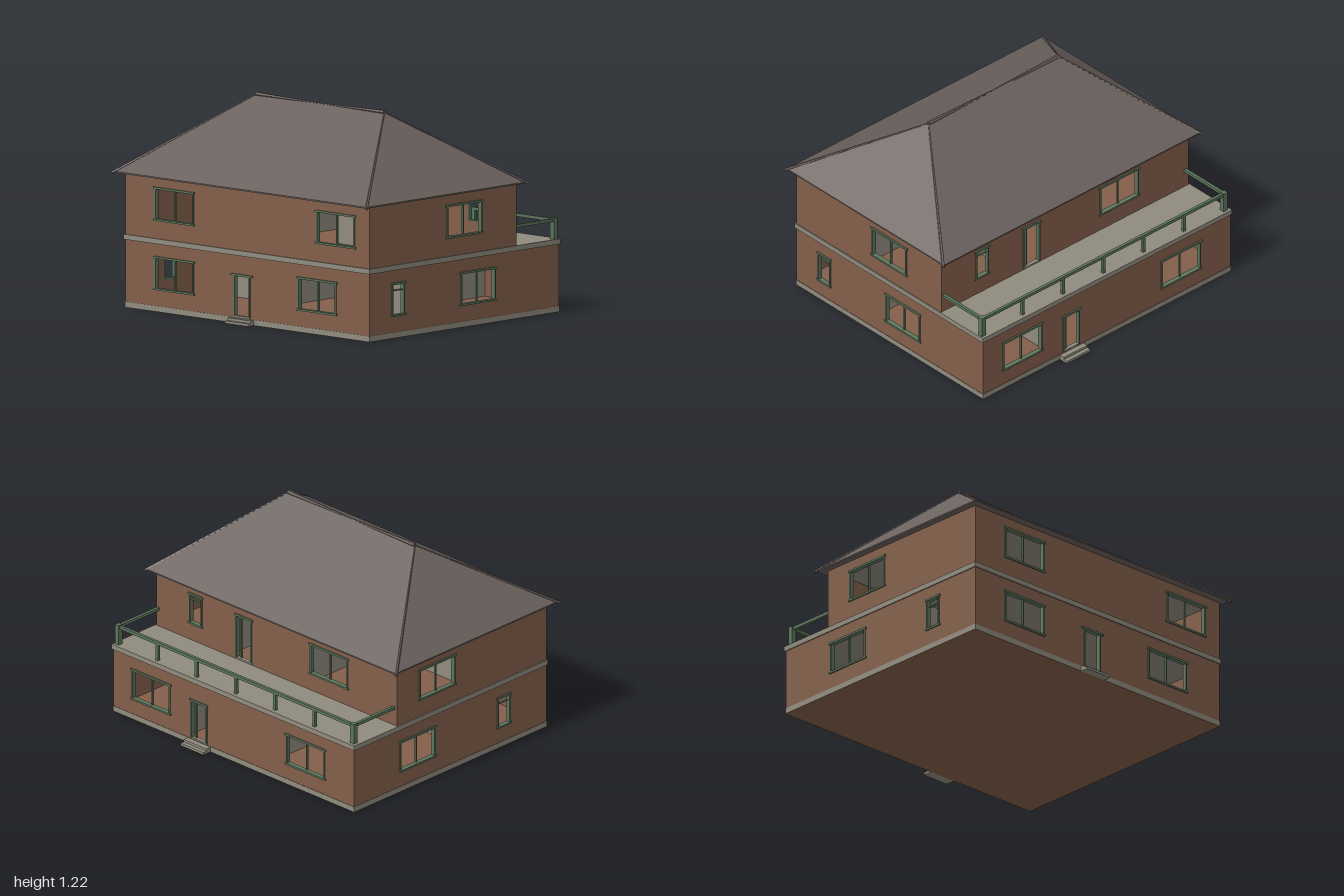
import * as THREE from 'three';

const mat = (name, color, extra = {}) => {
  const m = new THREE.MeshStandardMaterial({ color, ...extra });
  m.name = name;
  return m;
};

export function createModel() {
  const brick = mat('brick', 0x835f4a);
  const stone = mat('stone', 0x908b7e);
  const slate = mat('slate', 0x6a615d, { flatShading: true });
  const green = mat('green paint', 0x5d755d);

  const house = new THREE.Group();
  house.name = 'house';

  const add = (parent, name, geometry, material) => {
    const mesh = new THREE.Mesh(geometry, material);
    mesh.name = name;
    parent.add(mesh);
    return mesh;
  };
  // Box given by its limits on each axis
  const box = (parent, name, material, x0, x1, y0, y1, z0, z1) => {
    const mesh = add(parent, name, new THREE.BoxGeometry(x1 - x0, y1 - y0, z1 - z0), material);
    mesh.position.set((x0 + x1) / 2, (y0 + y1) / 2, (z0 + z1) / 2);
    return mesh;
  };

  const X0 = -0.947, X1 = 0.959, FRONT = 0.776, BACK = -0.79, UPPER_BACK = -0.44, T = 0.02;

  // Plinth with the brown ground floor on top, and the slab between the storeys
  box(house, 'plinth', [stone, stone, brick, brick, stone, stone],
    X0 - 0.002, X1 + 0.002, 0, 0.033, BACK - 0.002, FRONT + 0.002);
  box(house, 'balconySlab', stone, X0 - 0.007, X1 + 0.007, 0.39, 0.42, BACK - 0.007, FRONT + 0.007);
  box(house, 'upperFloor', brick, X0 + T, X1 - T, 0.42, 0.424, UPPER_BACK + T, FRONT - T);
  box(house, 'upperCeiling', stone, X0 + T, X1 - T, 0.766, 0.772, UPPER_BACK + T, FRONT - T);

  // Plastered partitions: a spine wall split by the hall, and cross walls behind it
  const storeys = [['lower', 0.033, 0.39, BACK], ['upper', 0.424, 0.766, UPPER_BACK]];
  for (const [storey, y0, y1, back] of storeys) {
    box(house, storey + 'SpineWall', stone, X0 + T, -0.18, y0, y1, 0.2, 0.22);
    box(house, storey + 'SpineWall', stone, 0.18, X1 - T, y0, y1, 0.2, 0.22);
    box(house, storey + 'CrossWall', stone, -0.2, -0.18, y0, y1, back + T, 0.22);
    box(house, storey + 'CrossWall', stone, 0.38, 0.4, y0, y1, back + T, 0.2);
  }

  // Painted frame around an opening, in the wall's own coordinates
  const frame = (parent, [u0, u1, y0, y1, kind]) => {
    const g = new THREE.Group();
    g.name = kind.includes('oor') ? 'doorFrame' : 'windowFrame';
    parent.add(g);
    const t = 0.01, mid = (u0 + u1) / 2;
    const over = kind === 'door' ? 0.02 : 0.007;
    box(g, 'jamb', green, u0, u0 + t, y0, y1, -T, 0.006);
    box(g, 'jamb', green, u1 - t, u1, y0, y1, -T, 0.006);
    box(g, 'lintel', green, u0 - over, u1 + over, y1 - 0.006, y1 + 0.006, -T, 0.009);
    if (kind === 'door' || kind === 'glassDoor') {
      box(g, 'threshold', stone, u0, u1, y0 - 0.004, y0 + 0.004, -T, 0.004);
      if (kind === 'glassDoor') box(g, 'doorStile', green, u0 + 0.03, u0 + 0.038, y0, y1, -T, -0.008);
      return;
    }
    box(g, 'sill', green, u0 - over, u1 + over, y0 - 0.006, y0 + 0.005, -T, 0.009);
    if (kind === 'pair') box(g, 'mullion', green, mid - 0.004, mid + 0.004, y0, y1, -0.018, -0.006);
    else box(g, 'transom', green, u0, u1, y0 + (y1 - y0) * 0.76, y0 + (y1 - y0) * 0.8, -0.018, -0.006);
  };

  const panel = (a, b, y0, y1, openings) => {
    const s = new THREE.Shape([[a, y0], [b, y0], [b, y1], [a, y1]].map(p => new THREE.Vector2(...p)));
    for (const [u0, u1, v0, v1] of openings) {
      s.holes.push(new THREE.Path([[u0, v0], [u0, v1], [u1, v1], [u1, v0]].map(p => new THREE.Vector2(...p))));
    }
    return new THREE.ExtrudeGeometry(s, { depth: T, bevelEnabled: false });
  };

  // Brick wall with openings; sign maps world position to position along the wall
  const wall = (name, turn, sign, offset, a, b, y0, y1, openings) => {
    const g = new THREE.Group();
    g.name = name;
    g.rotation.y = turn;
    g.position.set(Math.sin(turn) * offset, 0, Math.cos(turn) * offset);
    house.add(g);
    const flip = (p, q) => (sign > 0 ? [p, q] : [-q, -p]);
    const local = openings.map(([p, q, ...rest]) => [...flip(p, q), ...rest]);
    add(g, 'brickwork', panel(...flip(a, b), y0, y1, local), brick).position.z = -T;
    local.forEach(o => frame(g, o));
  };

  const LOW = [0.13, 0.312], HIGH = [0.528, 0.71];
  const G = [0.033, 0.39], U = [0.42, 0.78];
  const H = Math.PI / 2;
  wall('lowerFrontWall', 0, 1, FRONT, X0, X1, ...G, [
    [-0.717, -0.412, ...LOW, 'pair'], [0.402, 0.702, ...LOW, 'pair'], [-0.1, 0.03, 0.04, 0.278, 'door']]);
  wall('upperFrontWall', 0, 1, FRONT, X0, X1, ...U, [
    [-0.717, -0.412, ...HIGH, 'pair'], [0.545, 0.848, ...HIGH, 'pair']]);
  wall('lowerBackWall', 2 * H, -1, -BACK, X0, X1, ...G, [
    [0.505, 0.81, ...LOW, 'pair'], [-0.717, -0.412, ...LOW, 'pair'], [0.215, 0.345, 0.04, 0.278, 'glassDoor']]);
  wall('upperBackWall', 2 * H, -1, -UPPER_BACK, X0, X1, ...U, [
    [0.595, 0.695, ...HIGH, 'single'], [0.2, 0.33, 0.428, 0.7, 'glassDoor'], [-0.56, -0.26, ...HIGH, 'pair']]);
  wall('lowerLeftWall', H, -1, X1, BACK, FRONT, ...G, [
    [-0.265, 0.025, ...LOW, 'pair'], [0.487, 0.592, ...LOW, 'single']]);
  wall('upperLeftWall', H, -1, X1, UPPER_BACK, FRONT, ...U, [[-0.152, 0.14, ...HIGH, 'pair']]);
  wall('lowerRightWall', -H, 1, -X0, BACK, FRONT, ...G, [
    [-0.42, -0.13, ...LOW, 'pair'], [0.375, 0.48, ...LOW, 'single']]);
  wall('upperRightWall', -H, 1, -X0, UPPER_BACK, FRONT, ...U, [[-0.26, 0.03, ...HIGH, 'pair']]);

  // Two-tier doorsteps
  box(house, 'frontStep', stone, -0.122, 0.058, 0, 0.015, FRONT, 0.827);
  box(house, 'frontStep', stone, -0.122, 0.058, 0.015, 0.03, FRONT, 0.805);
  box(house, 'backStep', stone, 0.187, 0.368, 0, 0.015, -0.85, BACK);
  box(house, 'backStep', stone, 0.187, 0.368, 0.015, 0.03, -0.825, BACK);

  // Balcony railing
  const railing = new THREE.Group();
  railing.name = 'balconyRailing';
  house.add(railing);
  const RX0 = -0.92, RX1 = 0.942, RZ = -0.765;
  for (let i = 0; i <= 6; i++) {
    const x = RX0 + (RX1 - RX0) * i / 6, r = i % 6 ? 0.009 : 0.015;
    box(railing, 'railPost', green, x - r, x + r, 0.42, i % 6 ? 0.525 : 0.542, RZ - r, RZ + r);
  }
  box(railing, 'backRail', green, RX0, RX1, 0.52, 0.538, RZ - 0.009, RZ + 0.009);
  for (const x of [RX0, RX1]) box(railing, 'sideRail', green, x - 0.009, x + 0.009, 0.52, 0.538, RZ, UPPER_BACK);

  // Hipped roof: underside, eaves edge and ridge
  const ridgeY = 1.203, ridgeZ = 0.165, rx = 0.5;
  const ring = y => [[-0.985, y, 0.825], [0.985, y, 0.828], [0.985, y, -0.492], [-0.985, y, -0.492]];
  const pts = [...ring(0.774), ...ring(0.782), [-rx, ridgeY, ridgeZ], [rx, ridgeY, ridgeZ]];
  const index = [0, 3, 2, 0, 2, 1, 4, 5, 9, 4, 9, 8, 5, 6, 9, 6, 7, 8, 6, 8, 9, 7, 4, 8];
  for (let i = 0; i < 4; i++) {
    const j = (i + 1) % 4;
    index.push(i, j, j + 4, i, j + 4, i + 4);
  }
  const indexed = new THREE.BufferGeometry();
  indexed.setAttribute('position', new THREE.Float32BufferAttribute(pts.flat(), 3));
  indexed.setIndex(index);
  const roofGeometry = indexed.toNonIndexed();
  roofGeometry.computeVertexNormals();
  add(house, 'roof', roofGeometry, slate);

  // Low capping along the ridge and hips, thicker towards the ends
  const capping = (name, from, to, r0, r1) => {
    const a = new THREE.Vector3(...from), b = new THREE.Vector3(...to);
    const mesh = add(house, name, new THREE.CylinderGeometry(r1, r0, a.distanceTo(b), 6), slate);
    mesh.position.copy(a).add(b).multiplyScalar(0.5);
    mesh.quaternion.setFromUnitVectors(new THREE.Vector3(0, 1, 0), b.sub(a).normalize());
  };
  for (const s of [-1, 1]) {
    capping('ridgeCap', [0, ridgeY - 0.002, ridgeZ], [s * rx, ridgeY, ridgeZ], 0.004, 0.014);
    for (const z of [0.836, -0.497]) {
      capping('hipCap', [s * rx, ridgeY, ridgeZ], [s * 0.994, 0.774, z], 0.004, 0.009);
    }
  }

  return house;
}
